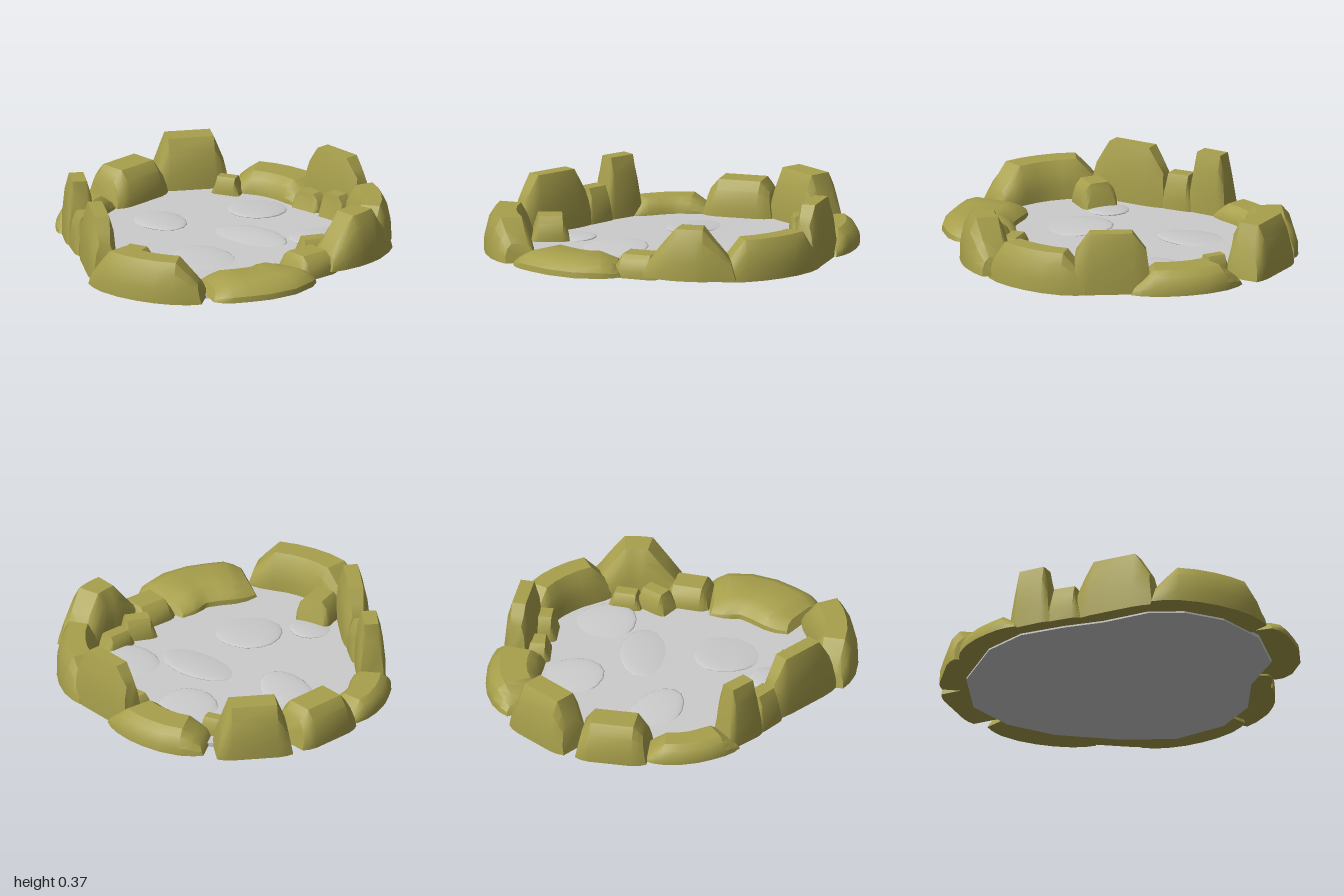
import * as THREE from 'three';
import { toCreasedNormals } from 'three/addons/utils/BufferGeometryUtils.js';

const stone = new THREE.MeshStandardMaterial({ color: 0xa8a04c });
const grey = new THREE.MeshStandardMaterial({ color: 0xcccccc });

// Chamfered cross-section of a boulder: [across, up]
const SECTION = [[-1, 0], [-0.98, 0.35], [-0.8, 0.75], [-0.5, 1], [0.5, 1], [0.8, 0.75], [0.98, 0.35], [1, 0]];

// Boulder: the section swept along a ground path, with bevelled ends.
// endW / endH are the width and height left at each end.
function boulder(name, path, half, height, { y = 0.01, endW = 0.75, endH = 0.62, bevel = 0.16 } = {}) {
  const curve = new THREE.CatmullRomCurve3(path.map(([x, z]) => new THREE.Vector3(x, 0, z)));
  const middle = path.length > 2 ? [(bevel + 0.5) / 2, 0.5, 1 - (bevel + 0.5) / 2] : [];
  const rows = [0, bevel * 0.45, bevel, ...middle, 1 - bevel, 1 - bevel * 0.45, 1];
  const n = SECTION.length;
  const pos = [];
  const index = [];
  for (const t of rows) {
    const c = curve.getPointAt(t);
    const d = curve.getTangentAt(t);
    const k = Math.min(1, Math.min(t, 1 - t) / bevel);
    const w = half * (endW + (1 - endW) * Math.sqrt(k));
    const h = (height - y) * (endH + (1 - endH) * k);
    for (const [u, v] of SECTION) {
      // the foot of each end reaches out, the top leans inward
      const lean = (1 - k) * v * 0.03 * (t < 0.5 ? 1 : -1);
      pos.push(c.x - d.z * u * w + d.x * lean, y + v * h, c.z + d.x * u * w + d.z * lean);
    }
  }
  for (let r = 0; r < rows.length - 1; r++) {
    for (let i = 0; i < n; i++) {
      const j = (i + 1) % n;
      const a = r * n + i, b = r * n + j;
      index.push(a, b, a + n, b, b + n, a + n);
    }
  }
  const last = (rows.length - 1) * n;
  for (let i = 1; i < n - 1; i++) {
    index.push(0, i + 1, i);
    index.push(last, last + i, last + i + 1);
  }
  const geo = new THREE.BufferGeometry();
  geo.setAttribute('position', new THREE.Float32BufferAttribute(pos, 3));
  geo.setIndex(index);
  const mesh = new THREE.Mesh(toCreasedNormals(geo, 0.55), stone);
  mesh.name = name;
  return mesh;
}

// Flat floor slab with an irregular outline
function floorSlab() {
  const outline = [
    [-0.82, -0.2], [-0.72, -0.55], [-0.5, -0.74], [-0.22, -0.83], [0.15, -0.83], [0.45, -0.77],
    [0.68, -0.56], [0.77, -0.3], [0.74, 0], [0.8, 0.3], [0.68, 0.6], [0.45, 0.8],
    [0.22, 0.86], [0.02, 0.82], [-0.2, 0.66], [-0.4, 0.56], [-0.62, 0.42], [-0.76, 0.2],
  ];
  const shape = new THREE.Shape(outline.map(([x, z]) => new THREE.Vector2(x, -z)));
  const geo = new THREE.ExtrudeGeometry(shape, { depth: 0.024, bevelEnabled: false });
  geo.rotateX(-Math.PI / 2);
  const mesh = new THREE.Mesh(geo, grey);
  mesh.name = 'floor';
  return mesh;
}

// Shallow swell in the floor, tilted so that one side sinks away
function swell(x, z, rx, rz, turn) {
  const geo = new THREE.SphereGeometry(1, 16, 10, 0, Math.PI * 2, 0, Math.PI * 0.7);
  geo.scale(rx, 0.016, rz);
  const mesh = new THREE.Mesh(geo, grey);
  mesh.name = 'floorSwell';
  mesh.position.set(x, 0.02, z);
  mesh.rotation.set(0, turn, 0.07);
  return mesh;
}

export function createModel() {
  const group = new THREE.Group();
  group.name = 'stoneRingPond';

  group.add(floorSlab());
  for (const s of [
    [-0.17, -0.54, 0.2, 0.17, -0.8], [0.38, -0.46, 0.21, 0.17, -0.5], [-0.43, -0.02, 0.24, 0.14, -0.3],
    [0.14, -0.17, 0.15, 0.24, 1.7], [0.24, 0.28, 0.23, 0.19, 2.7], [0.02, 0.56, 0.13, 0.12, 1.6],
  ]) group.add(swell(...s));

  // Ring of large boulders, clockwise from the back
  const low = { endW: 0.72, endH: 0.45, bevel: 0.22 };
  const block = { endW: 0.8, endH: 0.72, bevel: 0.2 };
  const slab = { endW: 0.75, endH: 0.7, bevel: 0.24 };
  const ring = [
    ['backUprightSlab', [[-0.09, -0.865], [0.355, -0.855]], 0.077, 0.35, slab],
    ['backLeftArcBoulder', [[0.25, -0.865], [0.45, -0.79], [0.61, -0.66], [0.73, -0.48]], 0.105, 0.235, low],
    ['leftTallBoulder', [[0.73, -0.585], [0.79, -0.35], [0.78, -0.09]], 0.125, 0.31, { y: 0.03, endW: 0.75, endH: 0.35, bevel: 0.36 }],
    ['leftSmallBoulder', [[0.74, -0.17], [0.72, 0.1]], 0.125, 0.135, block],
    ['frontLeftWideBoulder', [[0.72, 0.07], [0.765, 0.3], [0.6, 0.63]], 0.2, 0.11, { y: 0.02, endW: 0.75, endH: 0.6, bevel: 0.2 }],
    ['frontArcBoulder', [[0.02, 0.87], [0.25, 0.875], [0.45, 0.815], [0.65, 0.68]], 0.12, 0.235, low],
    ['frontUprightSlab', [[-0.33, 0.59], [0.065, 0.87]], 0.08, 0.35, { ...slab, endH: 0.6 }],
    ['frontSmallUpright', [[-0.475, 0.52], [-0.3, 0.625]], 0.08, 0.22, block],
    ['frontTallUpright', [[-0.65, 0.4], [-0.45, 0.55]], 0.08, 0.365, block],
    ['rightArcBoulder', [[-0.81, 0], [-0.77, 0.22], [-0.6, 0.46]], 0.115, 0.11, low],
    ['rightBlock', [[-0.81, -0.37], [-0.81, 0.03]], 0.145, 0.22, block],
    ['backRightTallBoulder', [[-0.84, -0.38], [-0.6, -0.73]], 0.12, 0.31, { ...block, endH: 0.55 }],
    ['backRightArcBoulder', [[-0.53, -0.71], [-0.38, -0.81], [-0.2, -0.85], [0.02, -0.83]], 0.15, 0.14, { ...low, endW: 0.82 }],
  ];
  // Small stones leaning against the inside of the ring
  const pebbles = [
    ['innerStone', [[-0.54, -0.565], [-0.38, -0.635]], 0.055, 0.12, block],
    ['innerStone', [[0.02, -0.86], [0.04, -0.68]], 0.095, 0.12, block],
    ['innerStone', [[0.23, -0.86], [0.24, -0.68]], 0.09, 0.16, block],
    ['innerStone', [[0.61, -0.47], [0.6, -0.27]], 0.065, 0.11, block],
    ['innerStone', [[0.66, -0.3], [0.56, -0.11]], 0.07, 0.14, block],
    ['innerStone', [[0.05, 0.57], [0.12, 0.78]], 0.105, 0.16, block],
  ];
  for (const b of [...ring, ...pebbles]) group.add(boulder(...b));
  return group;
}
